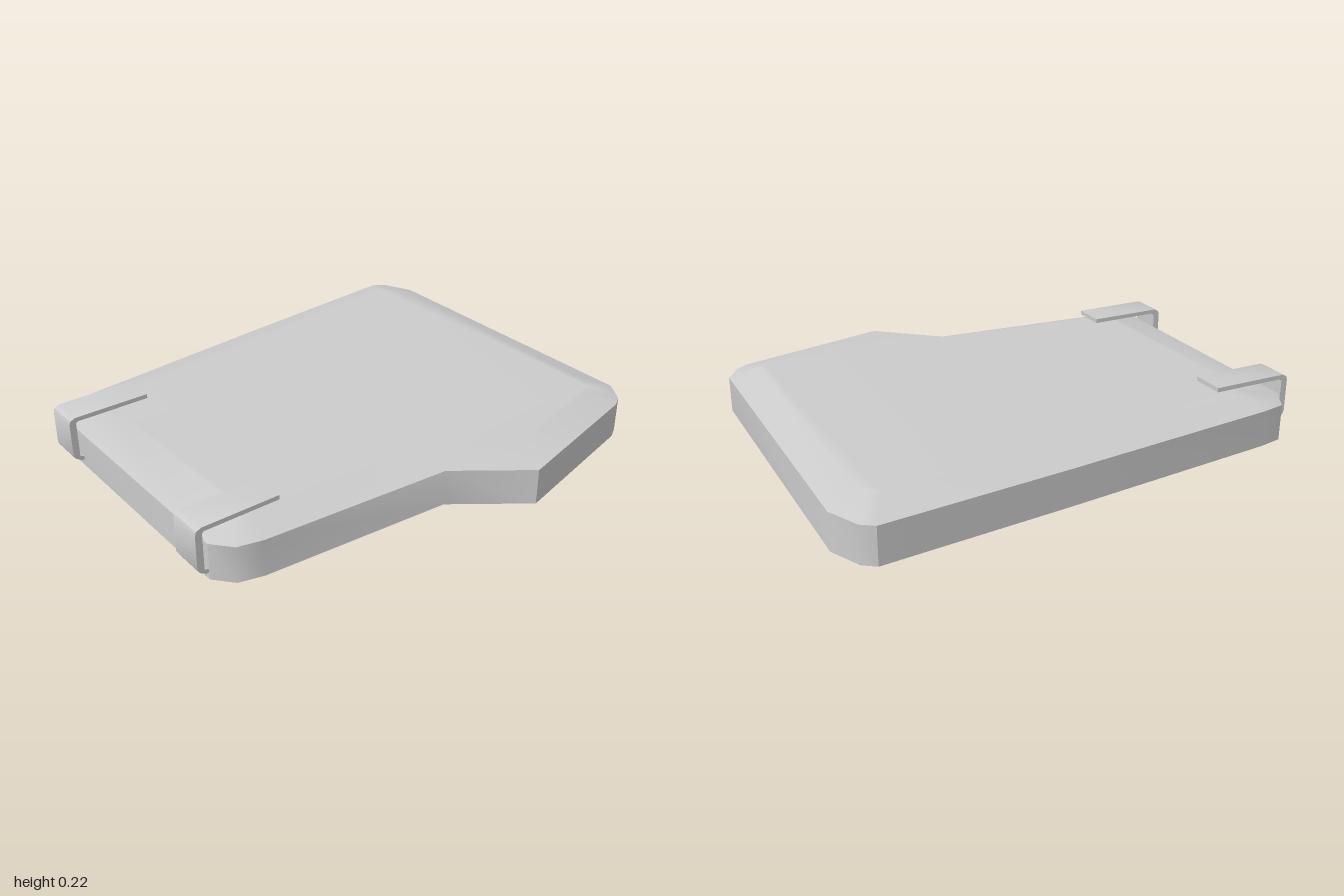
import * as THREE from 'three';
import { toCreasedNormals } from 'three/addons/utils/BufferGeometryUtils.js';

// Plan of the body as [x, z], with the matching inset point on the raised top
const PLAN = [
  [-0.71, -1, -0.64, -0.88], [0.59, -1, 0.53, -0.88], [0.68, -0.94, 0.58, -0.85],
  [0.71, -0.89, 0.60, -0.82], [0.865, -0.27, 0.75, -0.29], [0.655, 0.01, 0.53, -0.03],
  [0.60, 0.79, 0.48, 0.72], [0.575, 0.89, 0.465, 0.765], [0.50, 0.955, 0.43, 0.79],
  [-0.57, 0.955, -0.52, 0.79], [-0.68, 0.89, -0.57, 0.765], [-0.70, 0.79, -0.58, 0.72],
  [-0.80, -0.15, -0.67, -0.15], [-0.87, -0.89, -0.73, -0.82], [-0.835, -0.94, -0.71, -0.85],
];
const outer = PLAN.map(([x, z]) => new THREE.Vector2(x, z));
const inner = PLAN.map(([, , x, z]) => new THREE.Vector2(x, z));
const WALL = 0.15;
const TOP = 0.195;

function indexed(rings, index) {
  const points = rings.flatMap(([ring, y]) => ring.map((p) => new THREE.Vector3(p.x, y, p.y)));
  const geometry = new THREE.BufferGeometry().setFromPoints(points);
  geometry.setIndex(index);
  geometry.computeVertexNormals();
  return geometry;
}

// Quads joining a lower ring to the ring above it
function band() {
  const n = PLAN.length;
  return PLAN.flatMap((_, i) => {
    const j = (i + 1) % n;
    return [i, n + j, j, i, n + i, n + j];
  });
}

// Flat fill of a ring, facing up or down
function cap(ring, offset, up) {
  return THREE.ShapeUtils.triangulateShape(ring, []).flatMap(([a, b, c]) => {
    const ab = ring[b].clone().sub(ring[a]);
    const ac = ring[c].clone().sub(ring[a]);
    const facesUp = ab.cross(ac) < 0;
    return (facesUp === up ? [a, b, c] : [a, c, b]).map((k) => k + offset);
  });
}

// Bent strip hooked over the front edge, extruded across its width
function clipGeometry() {
  const profile = [
    [0.655, 0.207], [0.965, 0.207], [0.972, 0.2], [0.972, 0.05], [0.955, 0.045],
    [0.955, 0.03], [0.968, 0.03], [0.992, 0.045], [1, 0.06], [1, 0.2],
    [0.995, 0.215], [0.975, 0.225], [0.655, 0.225],
  ];
  const shape = new THREE.Shape(profile.map(([z, y]) => new THREE.Vector2(z, y)));
  const geometry = new THREE.ExtrudeGeometry(shape, { depth: 0.14, bevelEnabled: false });
  geometry.translate(0, 0, -0.07).rotateY(-Math.PI / 2);
  return toCreasedNormals(geometry, 0.7);
}

export function createModel() {
  const model = new THREE.Group();
  const material = new THREE.MeshStandardMaterial({ color: 0xcccccc });
  const add = (name, geometry) => {
    const mesh = new THREE.Mesh(geometry, material);
    mesh.name = name;
    model.add(mesh);
    return mesh;
  };

  // Upright walls and underside
  const sides = indexed([[outer, 0], [outer, WALL]], [...band(), ...cap(outer, 0, false)]);
  add('bodySides', toCreasedNormals(sides, 0.65));

  // Softly sloped, smooth top
  add('bodyTop', indexed([[outer, WALL], [inner, TOP]], [...band(), ...cap(inner, PLAN.length, true)]));

  // Two front clips
  const clip = clipGeometry();
  add('rightClip', clip).position.x = -0.5;
  add('leftClip', clip).position.x = 0.43;

  return model;
}
